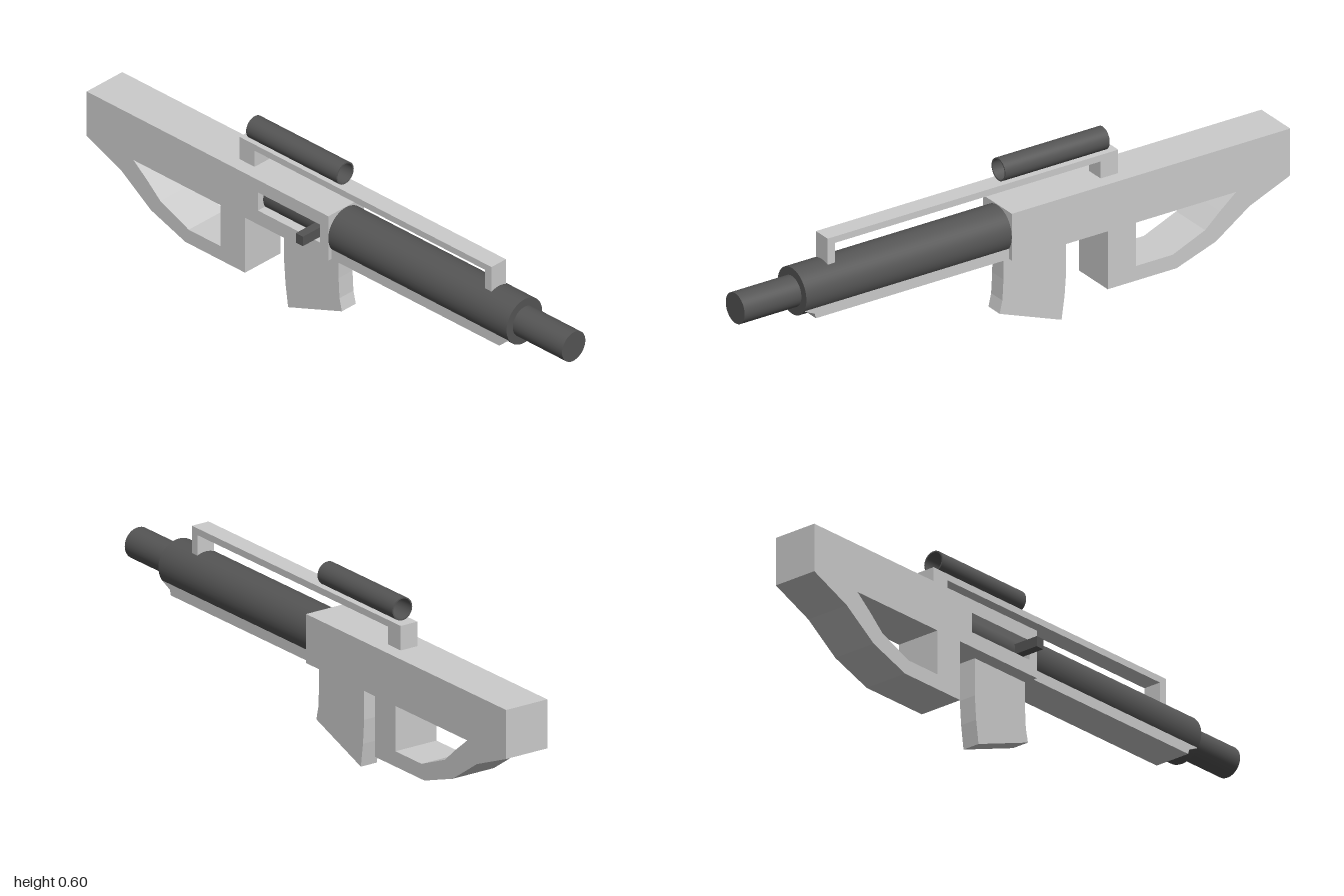
import * as THREE from 'three';

const grey = new THREE.MeshStandardMaterial({ color: 0xcccccc });
const dark = new THREE.MeshStandardMaterial({ color: 0x555555 });
const darkOpen = new THREE.MeshStandardMaterial({ color: 0x555555, side: THREE.DoubleSide });
const MID = -0.031; // z of the centre plane
const BORE = 0.365; // height of the barrel axis

const points = (list) => list.map(([x, y]) => new THREE.Vector2(x, y));

export function createModel() {
  const model = new THREE.Group();

  const add = (name, geometry, material, x = 0, y = 0, z = 0) => {
    const mesh = new THREE.Mesh(geometry, material);
    mesh.name = name;
    mesh.position.set(x, y, z);
    model.add(mesh);
    return mesh;
  };

  // Side profile extruded across the width, from z0 to z1
  const slab = (name, outline, z0, z1, holes = []) => {
    const shape = new THREE.Shape(points(outline));
    holes.forEach((h) => shape.holes.push(new THREE.Path(points(h))));
    const geometry = new THREE.ExtrudeGeometry(shape, { depth: z1 - z0, bevelEnabled: false });
    return add(name, geometry, grey, 0, 0, z0);
  };

  // Cylinder lying along x
  const rod = (name, radius, x0, x1, y = BORE) => {
    const geometry = new THREE.CylinderGeometry(radius, radius, x1 - x0, 48).rotateZ(-Math.PI / 2);
    return add(name, geometry, dark, (x0 + x1) / 2, y, MID);
  };

  // Stock and receiver, with the bolt window cut only into the +z side
  const body = [
    [-1, 0.445], [-1, 0.285], [-0.85, 0.223], [-0.725, 0.137], [-0.58, 0.087],
    [-0.325, 0.087], [-0.325, 0.285], [0.03, 0.285], [0.03, 0.445],
  ];
  const gripHole = [
    [-0.8, 0.285], [-0.43, 0.285], [-0.43, 0.137], [-0.565, 0.137], [-0.685, 0.187], [-0.74, 0.236],
  ];
  const boltWindow = [[-0.27, 0.335], [-0.005, 0.335], [-0.005, 0.4], [-0.27, 0.4]];
  slab('stockAndReceiver', body, -0.109, -0.031, [gripHole]);
  slab('stockAndReceiverWindowSide', body, -0.031, 0.047, [gripHole, boltWindow]);

  // Bolt and its handle
  rod('bolt', 0.055, -0.275, 0.02);
  add('boltHandle', new THREE.BoxGeometry(0.03, 0.034, 0.1), dark, -0.03, 0.364, 0.062);

  // Barrel and muzzle
  rod('barrel', 0.078, 0.02, 0.79);
  rod('muzzle', 0.051, 0.78, 1);

  // Fore-end cradling the barrel, cut back at the tip
  slab('foreEnd', [
    [0.03, 0.285], [0.745, 0.285], [0.75, 0.302], [0.785, 0.318], [0.785, 0.345], [0.03, 0.345],
  ], -0.095, 0.033);

  // Curved magazine with a sloping base
  slab('magazine', [
    [-0.204, 0.29], [-0.204, 0.16], [-0.198, 0.08], [-0.187, 0.002],
    [0.042, 0.087], [0.032, 0.13], [0.028, 0.2], [0.027, 0.29],
  ], -0.061, 0);

  // Top rail standing on two legs
  slab('topRail', [
    [-0.395, 0.444], [-0.33, 0.444], [-0.33, 0.503], [0.652, 0.503],
    [0.652, 0.436], [0.68, 0.436], [0.68, 0.525], [-0.395, 0.525],
  ], -0.063, 0);

  // Open sight tube
  const profile = points([[0.033, -0.193], [0.0375, -0.193], [0.0375, 0.193], [0.033, 0.193], [0.033, -0.193]]);
  const tube = new THREE.Group();
  tube.name = 'sightTube';
  for (let i = 0; i < profile.length - 1; i++) {
    // one lathe per profile edge keeps the rims sharp
    const wall = new THREE.Mesh(new THREE.LatheGeometry([profile[i], profile[i + 1]], 48), darkOpen);
    wall.name = 'sightTubeWall';
    tube.add(wall);
  }
  tube.rotation.z = -Math.PI / 2;
  tube.position.set(-0.167, 0.563, MID);
  model.add(tube);

  return model;
}
